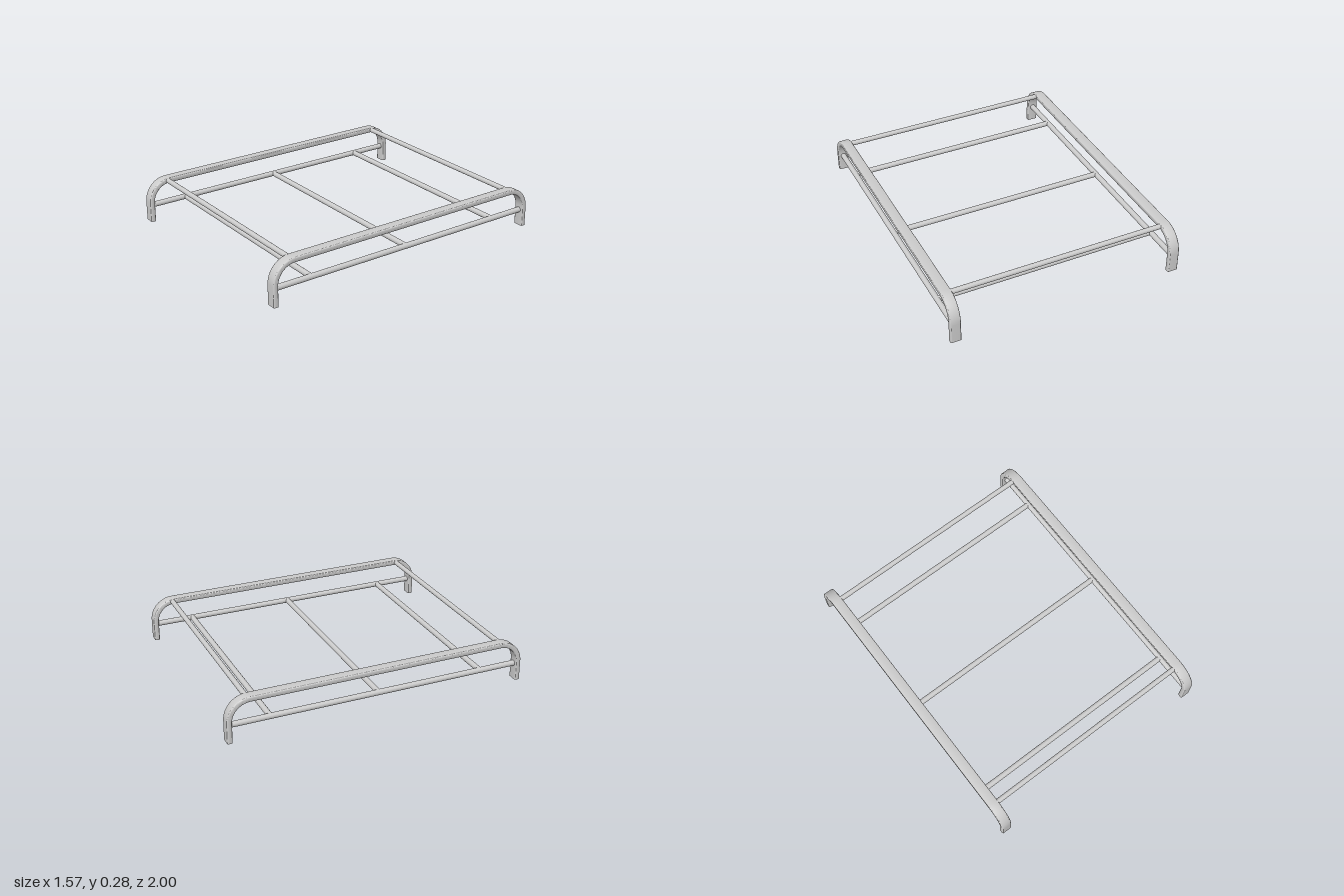
import * as THREE from 'three';
import { toCreasedNormals } from 'three/addons/utils/BufferGeometryUtils.js';

const material = new THREE.MeshStandardMaterial({ color: 0xcccccc });
const WIDTH = 0.07, THICK = 0.034, HEIGHT = 0.285, BEND = 0.135;
const FRAME_X = 0.75, LOW_Y = 0.109;

// Flat oblong section with rounded corners
function bandSection() {
  const w = WIDTH / 2, h = THICK / 2, r = 0.008;
  const s = new THREE.Shape();
  s.absarc(w - r, -h + r, r, -Math.PI / 2, 0);
  s.absarc(w - r, h - r, r, 0, Math.PI / 2);
  s.absarc(-w + r, h - r, r, Math.PI / 2, Math.PI);
  s.absarc(-w + r, -h + r, r, Math.PI, Math.PI * 1.5);
  s.closePath();
  return s;
}

// Stations along the hoop centre line: back leg, bend, top, bend, front leg
function hoopStations() {
  const bendSteps = 14, stations = [];
  const endZ = 1 - THICK / 2, topY = HEIGHT - THICK / 2;
  const add = (y, z, ny, nz) => stations.push({ y, z, ny, nz });
  add(0, -endZ, 0, -1);
  for (const side of [-1, 1]) {
    for (let i = 0; i <= bendSteps; i++) {
      const t = (i / bendSteps) * Math.PI / 2;
      const a = side < 0 ? t : Math.PI / 2 - t;
      const ny = Math.sin(a), nz = side * Math.cos(a);
      add(topY - BEND + BEND * ny, side * (endZ - BEND) + BEND * nz, ny, nz);
    }
  }
  add(0, endZ, 0, 1);
  return stations;
}

// Extrude the section straight, then lay each step onto its station
function hoopGeometry() {
  const st = hoopStations(), n = st.length - 1;
  const geo = new THREE.ExtrudeGeometry(bandSection(), {
    depth: n, steps: n, bevelEnabled: false, curveSegments: 4,
  });
  const p = geo.attributes.position;
  for (let i = 0; i < p.count; i++) {
    const s = st[Math.round(p.getZ(i))], off = p.getY(i);
    p.setXYZ(i, p.getX(i), s.y + off * s.ny, s.z + off * s.nz);
  }
  return toCreasedNormals(geo, 0.6);
}

function addBar(group, name, length, radius, axis, x, y, z) {
  const geo = new THREE.CylinderGeometry(radius, radius, length, 24);
  if (axis === 'x') geo.rotateZ(Math.PI / 2);
  else geo.rotateX(Math.PI / 2);
  const bar = new THREE.Mesh(geo, material);
  bar.name = name;
  bar.position.set(x, y, z);
  group.add(bar);
}

export function createModel() {
  const model = new THREE.Group();
  model.name = 'tubularFrame';

  // Side hoops, each with a low rail between its legs
  const hoop = hoopGeometry();
  for (const [side, label] of [[1, 'left'], [-1, 'right']]) {
    const mesh = new THREE.Mesh(hoop, material);
    mesh.name = label + 'Hoop';
    mesh.position.x = side * FRAME_X;
    model.add(mesh);
    addBar(model, label + 'LowRail', 1.95, 0.0185, 'z', side * FRAME_X, LOW_Y, 0);
  }

  // Upper crossbars at the ends of the hoops
  for (const z of [-0.859, 0.859])
    addBar(model, 'upperCrossbar', 1.45, 0.0168, 'x', 0, HEIGHT - THICK / 2, z);

  // Lower crossbars between the low rails
  for (const z of [-0.716, 0, 0.716])
    addBar(model, 'lowerCrossbar', 1.5, 0.0183, 'x', 0, LOW_Y, z);

  return model;
}
